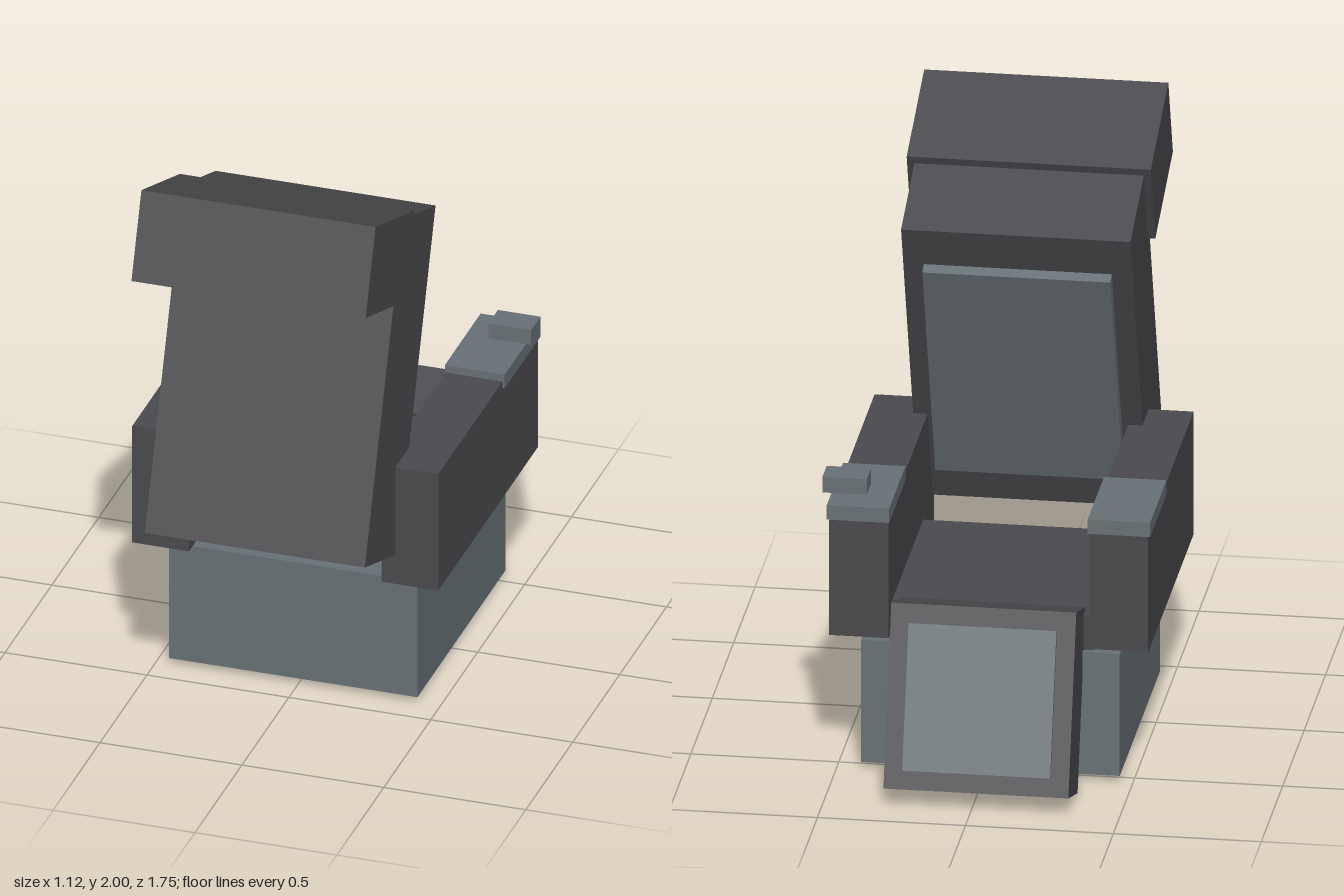
import * as THREE from 'three';

export function createModel() {
  const group = new THREE.Group();
  group.name = 'recliningChair';

  const upholstery = new THREE.MeshStandardMaterial({ color: 0x4b4a4e });
  upholstery.name = 'dark upholstery';
  const trim = new THREE.MeshStandardMaterial({ color: 0x687277 });
  trim.name = 'blue grey trim';

  const MID = -0.0175; // centre line of the chair

  // box from its size and centre
  function box(name, material, size, centre, parent = group) {
    const mesh = new THREE.Mesh(new THREE.BoxGeometry(...size), material);
    mesh.name = name;
    mesh.position.set(...centre);
    parent.add(mesh);
    return mesh;
  }

  // group tilted about the x axis, holding cushions and their panels
  function tilted(name, y, z, degrees) {
    const g = new THREE.Group();
    g.name = name;
    g.position.set(MID, y, z);
    g.rotation.x = THREE.MathUtils.degToRad(degrees);
    group.add(g);
    return g;
  }

  // base and seat
  box('base', trim, [0.875, 0.44, 0.94], [MID, 0.245, -0.07]);
  box('seat', upholstery, [0.685, 0.13, 0.76], [MID, 0.527, -0.14]);

  // armrests with pads at the open end
  for (const [side, s] of [['left', 1], ['right', -1]]) {
    box(side + 'Armrest', upholstery, [0.2, 0.443, 1.06], [MID + s * 0.439, 0.713, -0.045]);
    box(side + 'ArmPad', trim, [0.211, 0.052, 0.382], [MID + s * 0.441, 0.936, -0.391]);
  }

  // hand control above the left pad
  box('handControl', trim, [0.15, 0.056, 0.1], [0.48, 1.003, -0.453]);

  // reclined back with inset panel and headrest behind its top
  const back = tilted('back', 1.215, 0.4325, -20);
  box('backrest', upholstery, [0.775, 1.188, 0.37], [0, 0, 0], back);
  box('backPanel', trim, [0.635, 0.888, 0.08], [0, 0, -0.187], back);
  box('headrest', upholstery, [0.825, 0.31, 0.437], [0, 0.467, 0.367], back);

  // sloping leg rest with panel
  const legs = tilted('legRest', 0.336, -0.675, 17.2);
  box('legCushion', upholstery, [0.625, 0.625, 0.225], [0, 0, 0], legs);
  box('legPanel', trim, [0.5, 0.496, 0.04], [0, 0, -0.107], legs);

  return group;
}
